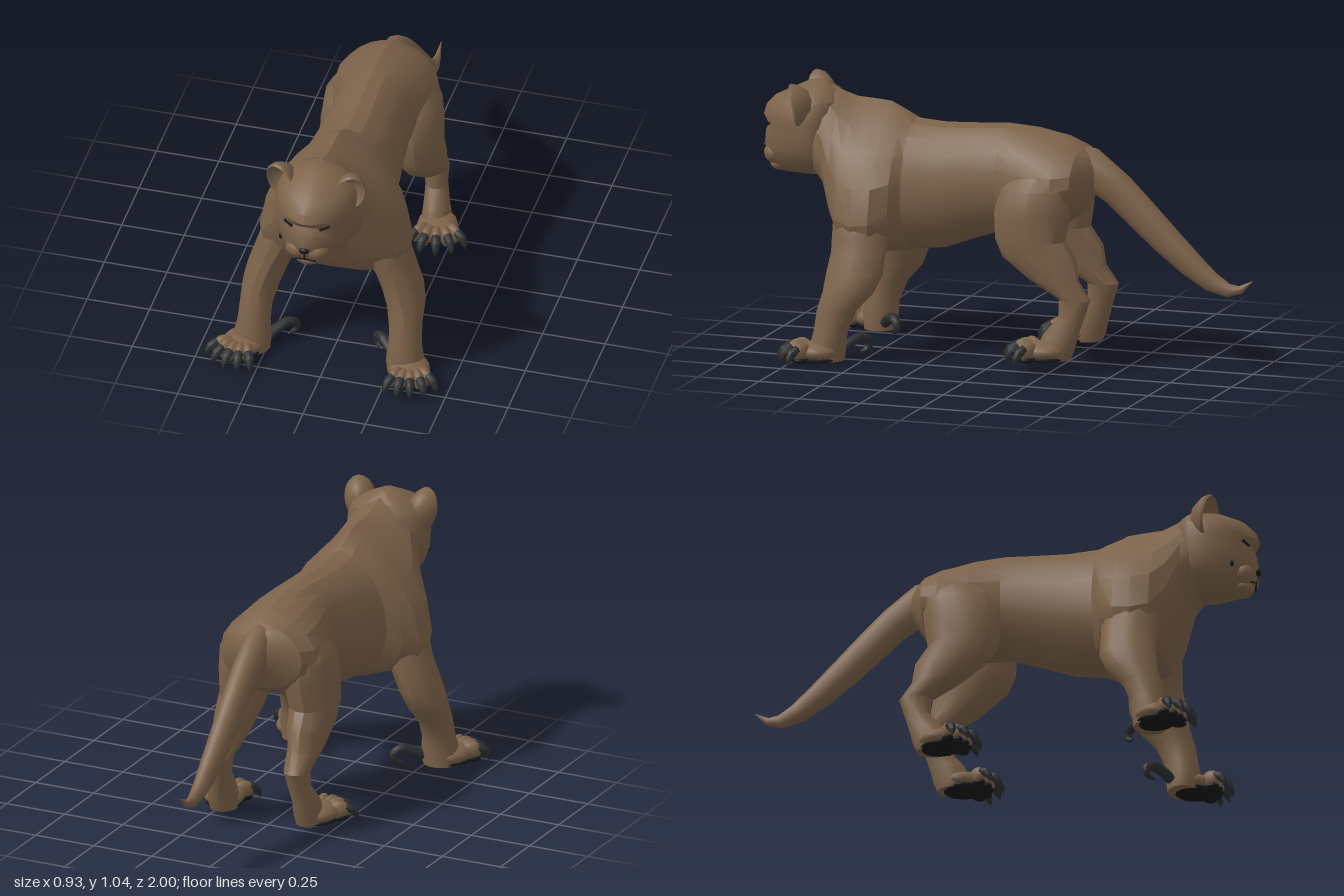
import * as THREE from 'three';
import { toCreasedNormals } from 'three/addons/utils/BufferGeometryUtils.js';

const fur = new THREE.MeshStandardMaterial({ color: 0x7c6249 });
fur.name = 'brown fur';
const claw = new THREE.MeshStandardMaterial({ color: 0x2c2e30 });
claw.name = 'dark claw';
const pad = new THREE.MeshStandardMaterial({ color: 0x17181a });
pad.name = 'black pad';

const V = (x, y, z) => new THREE.Vector3(x, y, z);
const spow = (v, p) => Math.sign(v) * Math.abs(v) ** p;

function add(parent, name, geo, mat, pos = [0, 0, 0], scale = [1, 1, 1], rot = [0, 0, 0]) {
  const m = new THREE.Mesh(geo, mat);
  m.name = name;
  m.position.set(...pos);
  m.scale.set(...scale);
  m.rotation.set(...rot);
  parent.add(m);
}

// A ring of n points from a rule of cosine and sine
function ring(n, rule) {
  return Array.from({ length: n }, (_, i) => {
    const a = (i / n) * Math.PI * 2;
    return rule(Math.cos(a), Math.sin(a));
  });
}

// Closed skin over rings, with capped ends, always facing outward
function loft(rings, crease = 0.35) {
  const n = rings[0].length, pts = rings.flat(), tris = [];
  const quad = (a, b, c, d) => tris.push([a, b, c], [a, c, d]);
  for (let r = 0; r < rings.length - 1; r++) {
    for (let i = 0; i < n; i++) {
      const j = (i + 1) % n;
      quad(r * n + i, r * n + j, (r + 1) * n + j, (r + 1) * n + i);
    }
  }
  [0, rings.length - 1].forEach((r, end) => {
    const mid = rings[r].reduce((s, p) => s.add(p), V(0, 0, 0)).divideScalar(n);
    const c = pts.push(mid) - 1;
    for (let i = 0; i < n; i++) {
      const a = r * n + i, b = r * n + (i + 1) % n;
      tris.push(end ? [c, a, b] : [c, b, a]);
    }
  });
  const cross = V(0, 0, 0);
  const volume = tris.reduce((s, [a, b, c]) => s + pts[a].dot(cross.crossVectors(pts[b], pts[c])), 0);
  if (volume < 0) tris.forEach((t) => t.reverse());
  const geo = new THREE.BufferGeometry().setFromPoints(pts);
  geo.setIndex(tris.flat());
  return toCreasedNormals(geo, crease);
}

// Tapering tube along a planar path; side is the normal of that plane
function sweep(path, radii, side, n = 8, flat = 1) {
  return loft(path.map((p, i) => {
    const t = path[Math.min(i + 1, path.length - 1)].clone().sub(path[Math.max(i - 1, 0)]).normalize();
    const v = V(0, 0, 0).crossVectors(side, t).normalize();
    return ring(n, (c, s) => p.clone().addScaledVector(side, c * radii[i] * flat).addScaledVector(v, s * radii[i]));
  }), 0.8);
}

// Leg from horizontal rings: x, y, z, half width, half depth
function leg(rows, s) {
  return loft(rows.map(([x, y, z, rx, rz]) => ring(14, (c, d) => V(s * (x + rx * c), y, z + rz * d))), 0.55);
}

// Paw with toes, curved claws, a dark sole and toe pads
const ball = new THREE.SphereGeometry(1, 14, 10);
function paw(parent, name, s, [x, z], base, angles, heading) {
  const g = new THREE.Group();
  g.name = name;
  g.position.set(s * x, base, z);
  parent.add(g);
  add(g, 'pawBody', ball, fur, [0, 0.04, 0], [0.08, 0.04, 0.092], [0, s * heading, 0]);
  add(g, 'sole', ball, pad, [0, 0.012, 0], [0.073, 0.015, 0.085], [0, s * heading, 0]);
  angles.forEach((deg) => {
    const a = deg * Math.PI / 180;
    const d = V(s * Math.sin(a), 0, Math.cos(a));
    const at = (r, y) => d.clone().multiplyScalar(r).setY(y);
    add(g, 'toe', ball, fur, at(0.082, 0.046).toArray(), [0.024, 0.036, 0.043], [0, s * a, 0]);
    add(g, 'toePad', ball, pad, at(0.083, 0.014).toArray(), [0.022, 0.014, 0.036], [0, s * a, 0]);
    add(g, 'claw', sweep([at(0.09, 0.05), at(0.112, 0.055), at(0.134, 0.044), at(0.149, 0.022), at(0.154, 0.002)],
      [0.016, 0.019, 0.018, 0.012, 0.002], V(d.z, 0, -d.x)), claw);
  });
}

export function createModel() {
  const model = new THREE.Group();
  model.name = 'bigCat';

  // Trunk and neck: z, top, bottom, half width, widest height, upper slope, lower squareness
  const trunk = [
    [-0.38, 0.79, 0.7, 0.04, 0.745, 1, 1], [-0.35, 0.83, 0.65, 0.1, 0.735, 1.1, 1],
    [-0.31, 0.858, 0.585, 0.175, 0.715, 1.2, 1], [-0.24, 0.888, 0.54, 0.21, 0.69, 1.3, 1],
    [-0.12, 0.912, 0.51, 0.198, 0.68, 1.2, 1],
    [0, 0.92, 0.5, 0.157, 0.69, 1, 1], [0.12, 0.912, 0.46, 0.167, 0.67, 1, 1],
    [0.25, 0.906, 0.412, 0.18, 0.64, 1, 1], [0.37, 0.915, 0.4, 0.2, 0.62, 1.1, 0.9],
    [0.405, 0.94, 0.4, 0.25, 0.58, 1.5, 0.75], [0.47, 0.972, 0.4, 0.295, 0.54, 1.9, 0.6],
    [0.54, 0.978, 0.402, 0.3, 0.53, 1.9, 0.6], [0.61, 0.982, 0.43, 0.275, 0.55, 1.7, 0.65],
    [0.66, 0.998, 0.5, 0.22, 0.63, 1.4, 0.8], [0.71, 1.015, 0.61, 0.165, 0.77, 1.2, 1],
    [0.77, 1.02, 0.68, 0.14, 0.83, 1.3, 1], [0.83, 1.0, 0.72, 0.1, 0.85, 1.2, 1],
  ];
  add(model, 'trunk', loft(trunk.map(([z, top, bot, w, mid, p, q]) => ring(20, (c, s) =>
    V(w * spow(c, s > 0 ? p : q), mid + s * (s > 0 ? top - mid : mid - bot), z)))), fur);

  // Head: height, front, back, half width, notch at the eyes
  const head = [
    [0.672, 0.925, 0.75, 0.05, 0], [0.69, 0.95, 0.73, 0.09, 0], [0.73, 0.972, 0.7, 0.135, 0],
    [0.78, 0.986, 0.68, 0.155, 0], [0.83, 0.986, 0.68, 0.16, 0.006], [0.862, 0.985, 0.67, 0.162, 0.024],
    [0.893, 0.99, 0.67, 0.162, 0], [0.93, 0.978, 0.67, 0.157, 0], [0.965, 0.945, 0.67, 0.14, 0],
    [1.0, 0.875, 0.69, 0.095, 0], [1.033, 0.805, 0.74, 0.025, 0],
  ];
  add(model, 'head', loft(head.map(([y, f, b, w, notch]) => ring(24, (c, s) =>
    V(w * spow(c, s > 0 ? 1.18 : 0.9), y, 0.77 + s * (s > 0 ? f - 0.77 - notch * s ** 6 : 0.77 - b)))), 0.55), fur);

  // Chin, nose and mouth
  add(model, 'chin', ball, fur, [0, 0.7, 0.92], [0.055, 0.03, 0.045]);
  add(model, 'nose', ball, pad, [0, 0.765, 0.984], [0.02, 0.013, 0.011]);
  add(model, 'lipLine', new THREE.BoxGeometry(0.004, 0.032, 0.006), pad, [0, 0.738, 0.979]);
  add(model, 'cheekMark', ball, pad, [-0.116, 0.76, 0.905], [0.009, 0.012, 0.005], [0, -0.8, 0]);

  // Ear cup profile, from the back, over the rim, into the hollow
  const cup = [[0, -0.5], [0.55, -0.42], [0.9, -0.12], [1, 0.1], [0.93, 0.18], [0.78, 0.02], [0.45, -0.2], [0, -0.28]];
  const earGeo = toCreasedNormals(new THREE.LatheGeometry(cup.map(([r, y]) => new THREE.Vector2(r, y)), 18)
    .rotateX(Math.PI / 2), 0.8);

  // Leg profiles from top to ankle
  const foreleg = [
    [0.15, 0.66, 0.52, 0.07, 0.08], [0.185, 0.56, 0.53, 0.1, 0.11], [0.213, 0.48, 0.525, 0.09, 0.112],
    [0.24, 0.42, 0.525, 0.082, 0.107], [0.27, 0.34, 0.53, 0.078, 0.112], [0.289, 0.27, 0.55, 0.073, 0.1],
    [0.298, 0.2, 0.592, 0.064, 0.078], [0.302, 0.12, 0.615, 0.065, 0.066], [0.304, 0.06, 0.625, 0.075, 0.07],
    [0.304, 0.006, 0.625, 0.07, 0.064],
  ];
  const hindleg = [
    [0.1, 0.78, -0.18, 0.07, 0.1], [0.128, 0.7, -0.165, 0.1, 0.145], [0.14, 0.6, -0.15, 0.1, 0.152],
    [0.15, 0.5, -0.145, 0.09, 0.14], [0.157, 0.43, -0.185, 0.08, 0.148], [0.162, 0.35, -0.245, 0.066, 0.1],
    [0.166, 0.28, -0.332, 0.05, 0.062], [0.17, 0.21, -0.32, 0.043, 0.052], [0.18, 0.14, -0.28, 0.05, 0.07],
    [0.185, 0.08, -0.26, 0.06, 0.075], [0.185, 0.046, -0.255, 0.054, 0.066],
  ];

  for (const s of [1, -1]) {
    const side = s > 0 ? 'left' : 'right';
    add(model, side + 'Ear', earGeo, fur, [s * 0.134, 0.957, 0.808], [0.063, 0.09, 0.115], [0.2, s * 0.3, -s * 0.2]);
    add(model, side + 'Muzzle', ball, fur, [s * 0.036, 0.745, 0.932], [0.05, 0.042, 0.046]);
    add(model, side + 'Mouth', new THREE.BoxGeometry(0.045, 0.004, 0.006), pad,
      [s * 0.022, 0.716, 0.97], [1, 1, 1], [0, s * 0.3, -s * 0.3]);
    add(model, side + 'Eye', new THREE.BoxGeometry(0.042, 0.007, 0.009), pad,
      [s * 0.072, 0.863, 0.95], [1, 1, 1], [0, s * 0.5, s * 0.3]);

    add(model, side + 'FrontLeg', leg(foreleg, s), fur);
    paw(model, side + 'FrontPaw', s, [0.33, 0.655], 0.002, [-24, -4, 16, 37, 58], 0.5);
    // Curled claw behind the front paw
    const hook = new THREE.CatmullRomCurve3([[0.25, 0.04, 0.587], [0.218, 0.062, 0.56], [0.186, 0.075, 0.532],
      [0.161, 0.058, 0.509], [0.163, 0.03, 0.511], [0.188, 0.018, 0.534]].map(([x, y, z]) => V(s * x, y, z)));
    add(model, side + 'DewClaw', sweep(hook.getPoints(15),
      Array.from({ length: 16 }, (_, i) => 0.021 - 0.017 * (i / 15) ** 3), V(s * 0.65, 0, -0.76)), claw);

    add(model, side + 'HindLeg', leg(hindleg, s), fur);
    paw(model, side + 'HindPaw', s, [0.2, -0.222], 0.04, [-36, -12, 12, 36, 60], 0.25);
  }

  // Tail: z, height, radius
  const tail = [[-0.23, 0.81, 0.06], [-0.33, 0.772, 0.08], [-0.45, 0.688, 0.071], [-0.55, 0.594, 0.067],
    [-0.65, 0.5, 0.061], [-0.75, 0.412, 0.052], [-0.83, 0.352, 0.041], [-0.9, 0.322, 0.028],
    [-0.95, 0.328, 0.016], [-1, 0.365, 0.001]];
  add(model, 'tail', sweep(tail.map(([z, y]) => V(0, y, z)), tail.map((t) => t[2]), V(1, 0, 0), 12, 0.74), fur);

  return model;
}
